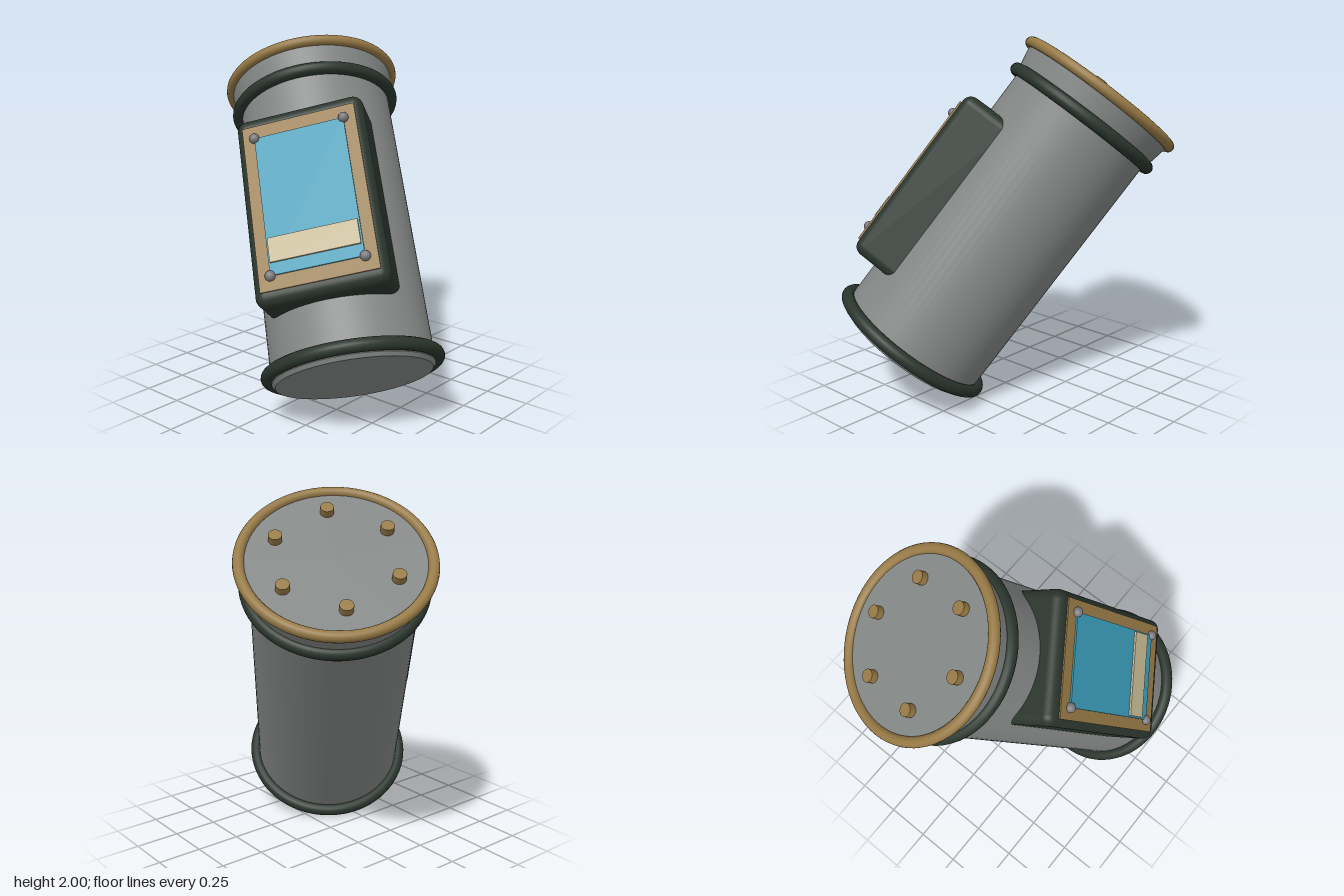
import * as THREE from 'three';
import { toCreasedNormals } from 'three/addons/utils/BufferGeometryUtils.js';
import { RoundedBoxGeometry } from 'three/addons/geometries/RoundedBoxGeometry.js';

function material(name, color) {
  const m = new THREE.MeshStandardMaterial({ color });
  m.name = name;
  return m;
}

export function createModel() {
  const steel = material('grey steel', 0x828684);
  const screwGrey = material('screw grey', 0x7c7c80);
  const rubber = material('dark green rubber', 0x2a352d);
  const brass = material('brass', 0x967945);
  const glass = material('blue glass', 0x3a9ab7);
  const cream = material('cream label', 0xc3b792);

  // Upright canister: local y runs along the axis, local z faces the panel
  const canister = new THREE.Group();
  canister.name = 'canister';

  function add(name, geometry, mat, x = 0, y = 0, z = 0, parent = canister) {
    const mesh = new THREE.Mesh(geometry, mat);
    mesh.name = name;
    mesh.position.set(x, y, z);
    parent.add(mesh);
    return mesh;
  }

  // Body with a bevelled foot and a flared lip
  const profile = [
    [0, -0.055], [0.415, -0.055], [0.432, -0.035], [0.432, 1.58],
    [0.45, 1.6], [0.475, 1.735], [0, 1.735],
  ].map(([r, y]) => new THREE.Vector2(r, y));
  add('body', toCreasedNormals(new THREE.LatheGeometry(profile, 72), 0.5), steel);

  // Rings around the body
  function ring(name, radius, tube, y, mat) {
    add(name, new THREE.TorusGeometry(radius, tube, 16, 72).rotateX(Math.PI / 2), mat, 0, y);
  }
  ring('bottomRing', 0.45, 0.035, 0, rubber);
  ring('upperRing', 0.45, 0.035, 1.567, rubber);
  ring('lipRing', 0.477, 0.029, 1.73, brass);

  // Six studs on the lid
  for (let i = 0; i < 6; i++) {
    const a = (i * Math.PI) / 3;
    add('lidStud', new THREE.CylinderGeometry(0.035, 0.035, 0.06, 20), brass,
      0.325 * Math.cos(a), 1.745, 0.325 * Math.sin(a));
  }

  // Display panel on the front
  const panel = new THREE.Group();
  panel.name = 'panel';
  panel.position.y = 0.782;
  canister.add(panel);
  add('panelHousing', new RoundedBoxGeometry(0.69, 1.05, 0.35, 5, 0.055), rubber, 0, 0, 0.355, panel);
  add('panelFrame', new THREE.BoxGeometry(0.61, 0.92, 0.03), brass, 0, 0, 0.523, panel);
  add('panelScreen', new THREE.BoxGeometry(0.483, 0.77, 0.02), glass, 0, 0, 0.537, panel);
  add('panelLabel', new THREE.BoxGeometry(0.465, 0.13, 0.025), cream, 0, -0.255, 0.546, panel);
  for (const sx of [-1, 1]) {
    for (const sy of [-1, 1]) {
      add('panelScrew', new THREE.SphereGeometry(0.027, 20, 14), screwGrey,
        sx * 0.2415, sy * 0.385, 0.545, panel);
    }
  }

  // Tilt the canister about its bottom ring
  const axis = new THREE.Vector3(-0.493, 0.789, -0.365).normalize();
  const side = new THREE.Vector3(0.801, 0.248, -0.545);
  side.addScaledVector(axis, -side.dot(axis)).normalize();
  const out = new THREE.Vector3().crossVectors(side, axis);
  canister.quaternion.setFromRotationMatrix(new THREE.Matrix4().makeBasis(side, axis, out));
  canister.position.set(0.425, 0.315, 0.32);

  const model = new THREE.Group();
  model.name = 'tiltedCanister';
  model.add(canister);
  return model;
}
